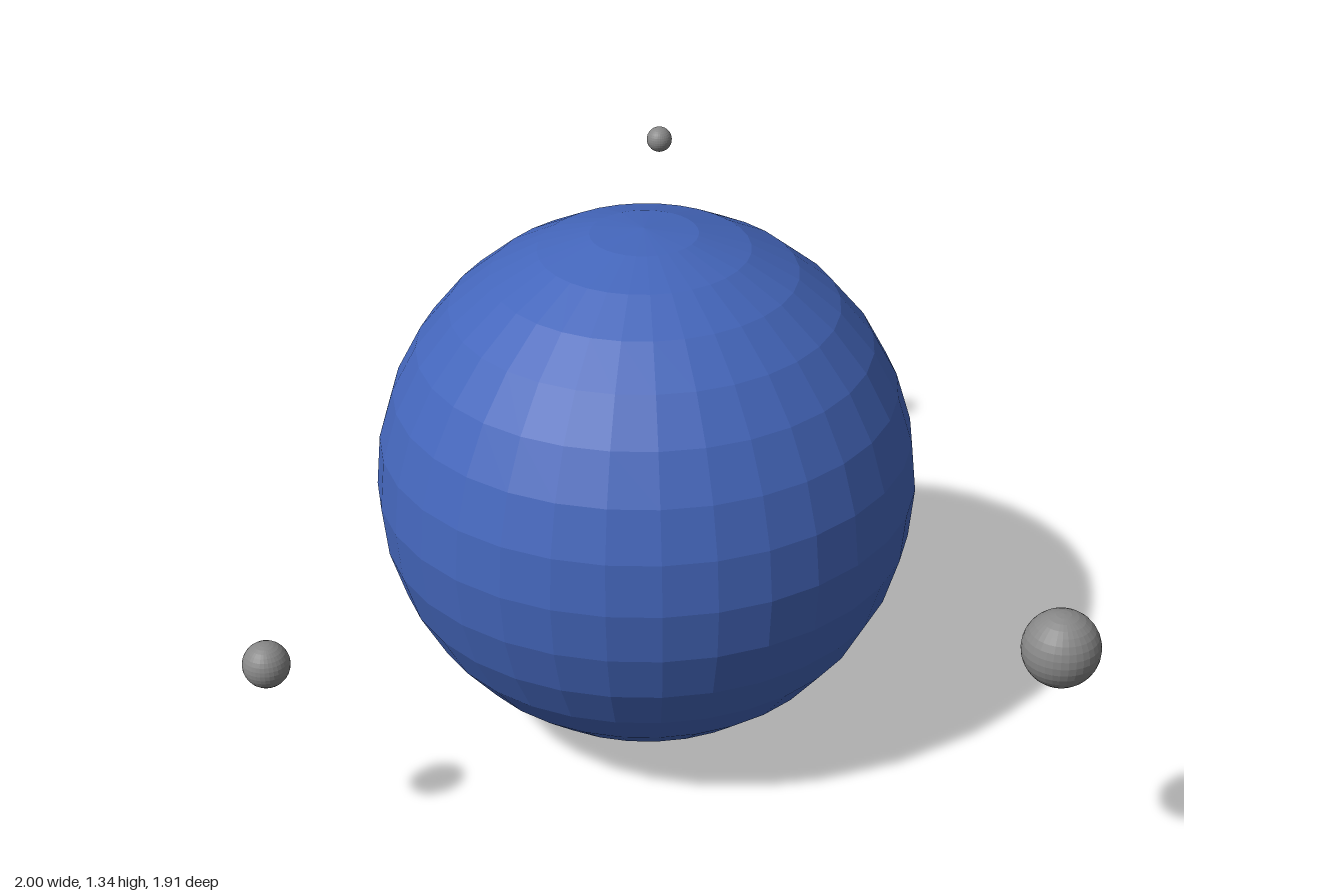
import * as THREE from 'three';

export function createModel() {
  const group = new THREE.Group();
  const faceted = (name, color) => {
    const material = new THREE.MeshStandardMaterial({ color, flatShading: true });
    material.name = name;
    return material;
  };
  const blue = faceted('planet blue', 0x4466bb);
  const grey = faceted('moon grey', 0x888888);

  // Every body is the same faceted sphere at a different scale
  const sphere = new THREE.SphereGeometry(1, 32, 16);
  const addBody = (name, material, radius, x, y, z) => {
    const body = new THREE.Mesh(sphere, material);
    body.name = name;
    body.scale.setScalar(radius);
    body.position.set(x, y, z);
    group.add(body);
  };

  // Planet
  addBody('planet', blue, 0.67, -0.33, 0.67, -0.173);

  // Orbiting moons
  addBody('largeMoon', grey, 0.091, 0.909, 0.676, -0.187);
  addBody('mediumMoon', grey, 0.056, -0.557, 0.537, 0.897);
  addBody('smallMoon', grey, 0.034, -0.95, 1.158, -0.921);

  return group;
}
